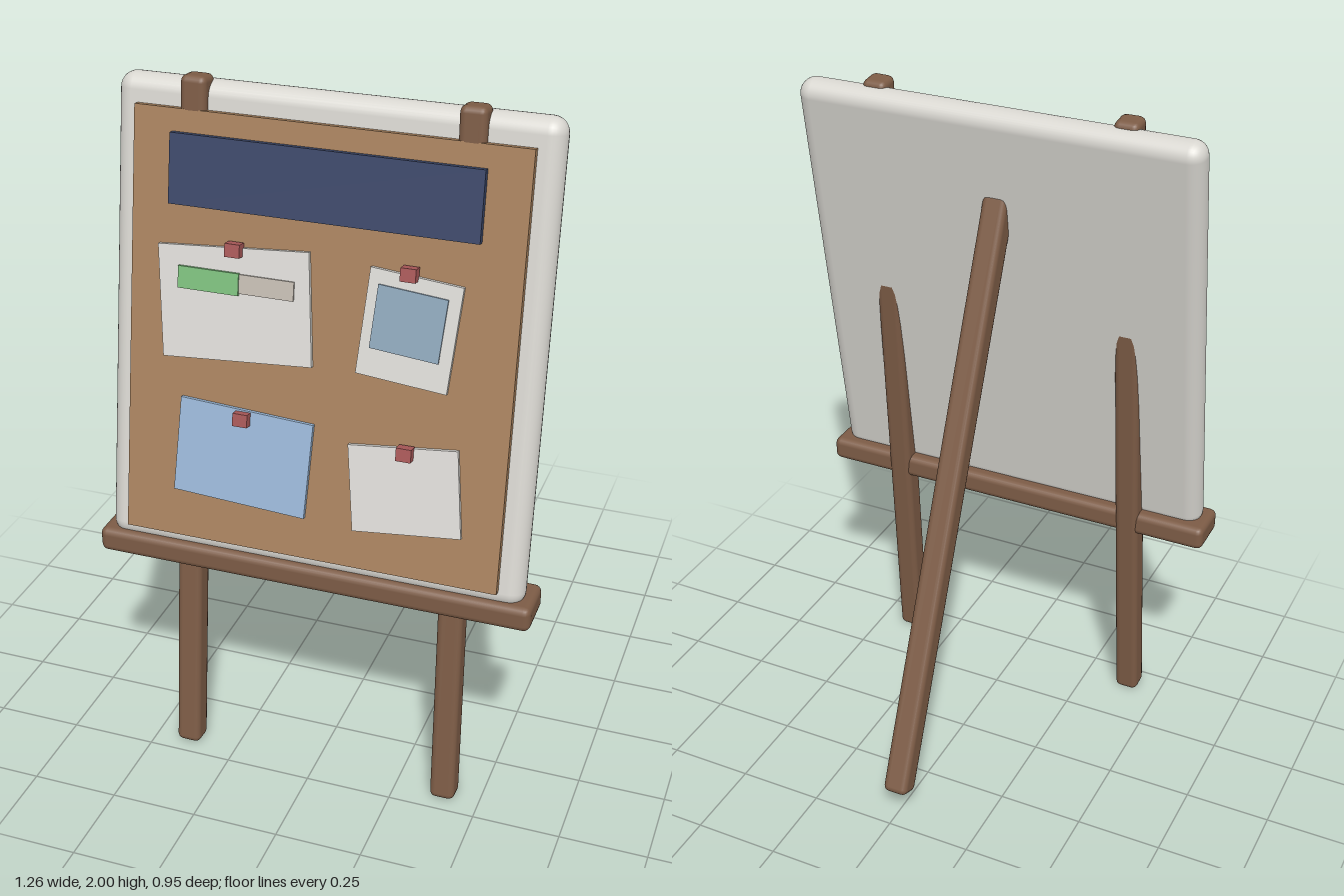
import * as THREE from 'three';
import { RoundedBoxGeometry } from 'three/addons/geometries/RoundedBoxGeometry.js';

const mat = (color) => new THREE.MeshStandardMaterial({ color });
const wood = mat(0x7d5c46), frameMat = mat(0xd8d6d0), cork = mat(0xa8825e), navy = mat(0x3a4668);
const paper = mat(0xdedcd8), bluePaper = mat(0x9bb8d8), photoBlue = mat(0x8fa8bc);
const green = mat(0x7dbf7d), beige = mat(0xc4bcb2), pinRed = mat(0xa85858);

const TILT = 0.175, CY = 1.335, CZ = 0.307; // lean and centre of the board
const CORK_FRONT = 0.067;                   // cork surface, measured from the board's middle

function add(parent, name, geometry, material, x, y, z) {
  const mesh = new THREE.Mesh(geometry, material);
  mesh.name = name;
  mesh.position.set(x, y, z);
  parent.add(mesh);
  return mesh;
}

// Rounded wooden bar running between two points
function beam(parent, name, a, b, width) {
  const from = new THREE.Vector3(...a), to = new THREE.Vector3(...b);
  const dir = to.clone().sub(from), mid = from.clone().add(to).multiplyScalar(0.5);
  const geo = new RoundedBoxGeometry(width, dir.length(), width, 2, 0.018);
  const mesh = add(parent, name, geo, wood, mid.x, mid.y, mid.z);
  mesh.quaternion.setFromUnitVectors(new THREE.Vector3(0, 1, 0), dir.normalize());
}

export function createModel() {
  const model = new THREE.Group();
  model.name = 'noticeBoardEasel';

  // Easel legs and ledge
  for (const s of [1, -1]) {
    beam(model, s > 0 ? 'leftLeg' : 'rightLeg', [s * 0.395, 0.002, 0.432], [s * 0.372, 1.998, 0.228], 0.072);
  }
  beam(model, 'backLeg', [0, 0.08, -0.441], [0, 1.72, 0.232], 0.075);
  add(model, 'ledge', new RoundedBoxGeometry(1.256, 0.073, 0.146, 2, 0.02), wood, 0, 0.68, 0.406);

  // Leaning board
  const board = new THREE.Group();
  board.name = 'board';
  board.position.set(0, CY, CZ);
  board.rotation.x = -TILT;
  model.add(board);
  add(board, 'frame', new RoundedBoxGeometry(1.2, 1.308, 0.092, 4, 0.044), frameMat, 0, 0, 0);
  add(board, 'corkPanel', new THREE.BoxGeometry(1.07, 1.183, 0.03), cork, 0, -0.0145, CORK_FRONT - 0.015);

  // Flat piece on the cork: x and height of its centre, size, turn, depth range above the cork
  const pinUp = (name, material, x, y, w, h, turn, bottom, top) => {
    const lz = CORK_FRONT + top;
    const ly = (y - CY - lz * Math.sin(TILT)) / Math.cos(TILT);
    const mesh = add(board, name, new THREE.BoxGeometry(w, h, top - bottom), material,
      x, ly, CORK_FRONT + (top + bottom) / 2);
    mesh.rotation.z = turn;
  };

  pinUp('banner', navy, -0.002, 1.767, 0.845, 0.187, 0, -0.002, 0.02);

  // Papers and what is on them
  pinUp('noteSheet', paper, -0.231, 1.427, 0.425, 0.308, 0.072, 0, 0.012);
  pinUp('progressTrack', beige, -0.228, 1.487, 0.325, 0.052, 0, 0.008, 0.017);
  pinUp('progressFill', green, -0.305, 1.486, 0.172, 0.06, 0, 0.008, 0.021);
  pinUp('photoSheet', paper, 0.25, 1.427, 0.25, 0.288, -0.088, 0, 0.012);
  pinUp('photoImage', photoBlue, 0.249, 1.447, 0.188, 0.172, -0.088, 0.008, 0.017);
  pinUp('blueSheet', bluePaper, -0.193, 1.012, 0.382, 0.27, -0.052, 0, 0.012);
  pinUp('smallSheet', paper, 0.267, 0.996, 0.302, 0.243, 0.105, 0, 0.012);

  // Pins
  for (const [x, y] of [[-0.234, 1.58], [0.245, 1.58], [-0.195, 1.127], [0.265, 1.108]]) {
    pinUp('pin', pinRed, x, y, 0.042, 0.036, 0, 0.005, 0.036);
  }
  return model;
}
